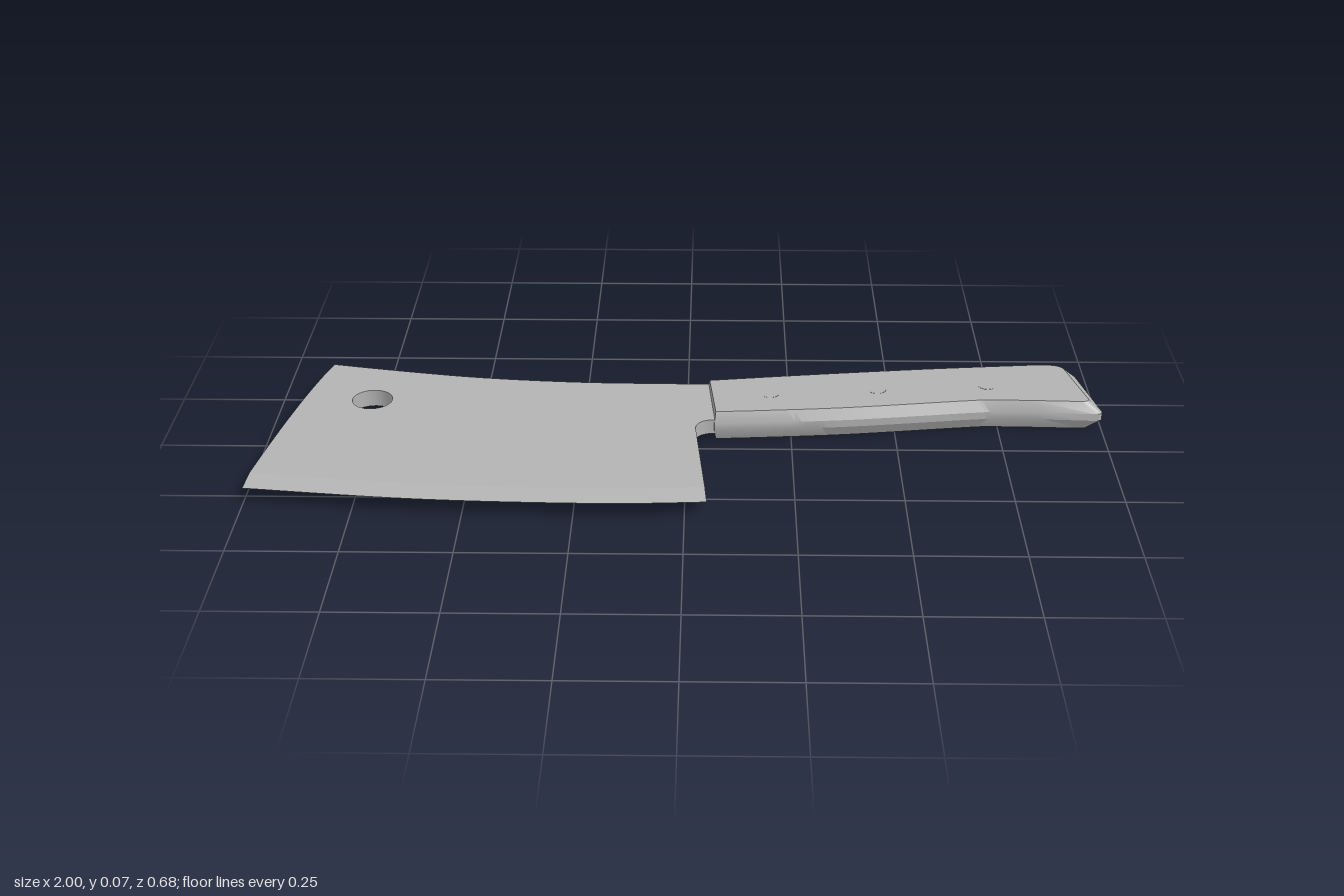
import * as THREE from 'three';
import { toCreasedNormals } from 'three/addons/utils/BufferGeometryUtils.js';

const MID = 0.0365; // height of the centre plane
const BEVEL = 0.05; // width of the ground cutting edge
const vec = (pairs) => pairs.map(([x, z]) => new THREE.Vector2(x, z));

// Half thickness of the blade, tapering from spine to edge
const halfThickness = (z) => 0.0172 - 0.02 * z;

// Extrudes an (x, z) outline to unit depth, then places each vertex by rule(x, z, t), t = 0 top to 1 bottom
function slab(shape, steps, rule) {
  const geo = new THREE.ExtrudeGeometry(shape, { depth: 1, steps, bevelEnabled: false, curveSegments: 10 });
  geo.rotateX(Math.PI / 2);
  const pos = geo.attributes.position;
  for (let i = 0; i < pos.count; i++) {
    pos.setXYZ(i, ...rule(pos.getX(i), pos.getZ(i), -pos.getY(i)));
  }
  return toCreasedNormals(geo, 0.45);
}

// Cutting edge and the line where its bevel begins
const edge = new THREE.SplineCurve(vec([[-1, 0.28], [-0.6, 0.325], [-0.2, 0.34], [0.05, 0.33]])).getPoints(20);
const bevelLine = edge.map((p) => new THREE.Vector2(
  THREE.MathUtils.mapLinear(p.x, -1, 0.05, -0.992, 0.0455), p.y - BEVEL));

function bladeGeometry() {
  const s = new THREE.Shape();
  s.moveTo(-0.885, -0.33);
  s.splineThru(vec([[-0.7, -0.293], [-0.5, -0.26], [-0.27, -0.24], [-0.05, -0.235], [0.07, -0.235]]));
  s.lineTo(0.07, -0.046);
  // Finger notch, then the heel
  s.bezierCurveTo(0.04, -0.045, 0.02, -0.03, 0.022, 0);
  for (const p of [...bevelLine].reverse()) s.lineTo(p.x, p.y);
  s.quadraticCurveTo(-0.935, -0.16, -0.885, -0.33);
  // Hanging hole
  const hole = new THREE.Path();
  hole.absarc(-0.763, -0.14, 0.049, 0, Math.PI * 2, true);
  s.holes.push(hole);
  return slab(s, 1, (x, z, t) => [x, MID + (1 - 2 * t) * halfThickness(z), z]);
}

function cuttingEdgeGeometry() {
  const out = [];
  const tri = (...pts) => pts.forEach((p) => out.push(...p));
  const quad = (a, b, c, d) => { tri(a, b, c); tri(a, c, d); };
  const sections = edge.map((e, i) => {
    const b = bevelLine[i], h = halfThickness(b.y);
    return [[b.x, MID + h, b.y], [e.x, MID, e.y], [b.x, MID - h, b.y]];
  });
  for (let i = 0; i < sections.length - 1; i++) {
    const [t0, e0, b0] = sections[i], [t1, e1, b1] = sections[i + 1];
    quad(t0, e0, e1, t1);
    quad(b0, b1, e1, e0);
  }
  const [t, e, b] = sections[0];
  tri(t, b, e);
  tri(...sections[sections.length - 1]);
  const geo = new THREE.BufferGeometry();
  geo.setAttribute('position', new THREE.Float32BufferAttribute(out, 3));
  return toCreasedNormals(geo, 0.3);
}

// Centre line of the handle in plan
const handleMid = (x) => -0.138 - 0.1 * (x - 0.05);

function handleGeometry() {
  const s = new THREE.Shape();
  s.moveTo(0.05, -0.238);
  s.splineThru(vec([[0.3, -0.274], [0.6, -0.312], [0.87, -0.339]]));
  s.bezierCurveTo(0.93, -0.345, 0.957, -0.34, 0.962, -0.31);
  s.lineTo(0.998, -0.125);
  s.quadraticCurveTo(1.003, -0.106, 0.98, -0.106);
  s.lineTo(0.86, -0.112);
  s.splineThru(vec([[0.75, -0.115], [0.68, -0.108], [0.4, -0.068], [0.2, -0.05], [0.066, -0.041]]));
  // Four levels: chamfered top and bottom around a straight middle band
  const heights = [0.0725, 0.046, 0.028, 0.0005];
  return slab(s, 3, (x, z, t) => {
    const level = Math.round(t * 3);
    if (level === 1 || level === 2) return [x, heights[level], z];
    const m = handleMid(x);
    return [0.054 + (x - 0.05) * 0.962, heights[level], m + (z - m) * 0.88];
  });
}

export function createModel() {
  const steel = new THREE.MeshStandardMaterial({ color: 0xb2b2b2 });
  steel.name = 'grey steel';
  const model = new THREE.Group();
  model.name = 'cleaver';
  const add = (name, geo) => {
    const mesh = new THREE.Mesh(geo, steel);
    mesh.name = name;
    model.add(mesh);
    return mesh;
  };

  add('blade', bladeGeometry());
  add('cuttingEdge', cuttingEdgeGeometry());
  add('handle', handleGeometry());

  // Nearly flush rivets through the handle
  for (const x of [0.2, 0.46, 0.73]) {
    add('rivet', new THREE.CylinderGeometry(0.022, 0.022, 0.073, 20)).position.set(x, MID, handleMid(x));
  }
  return model;
}
